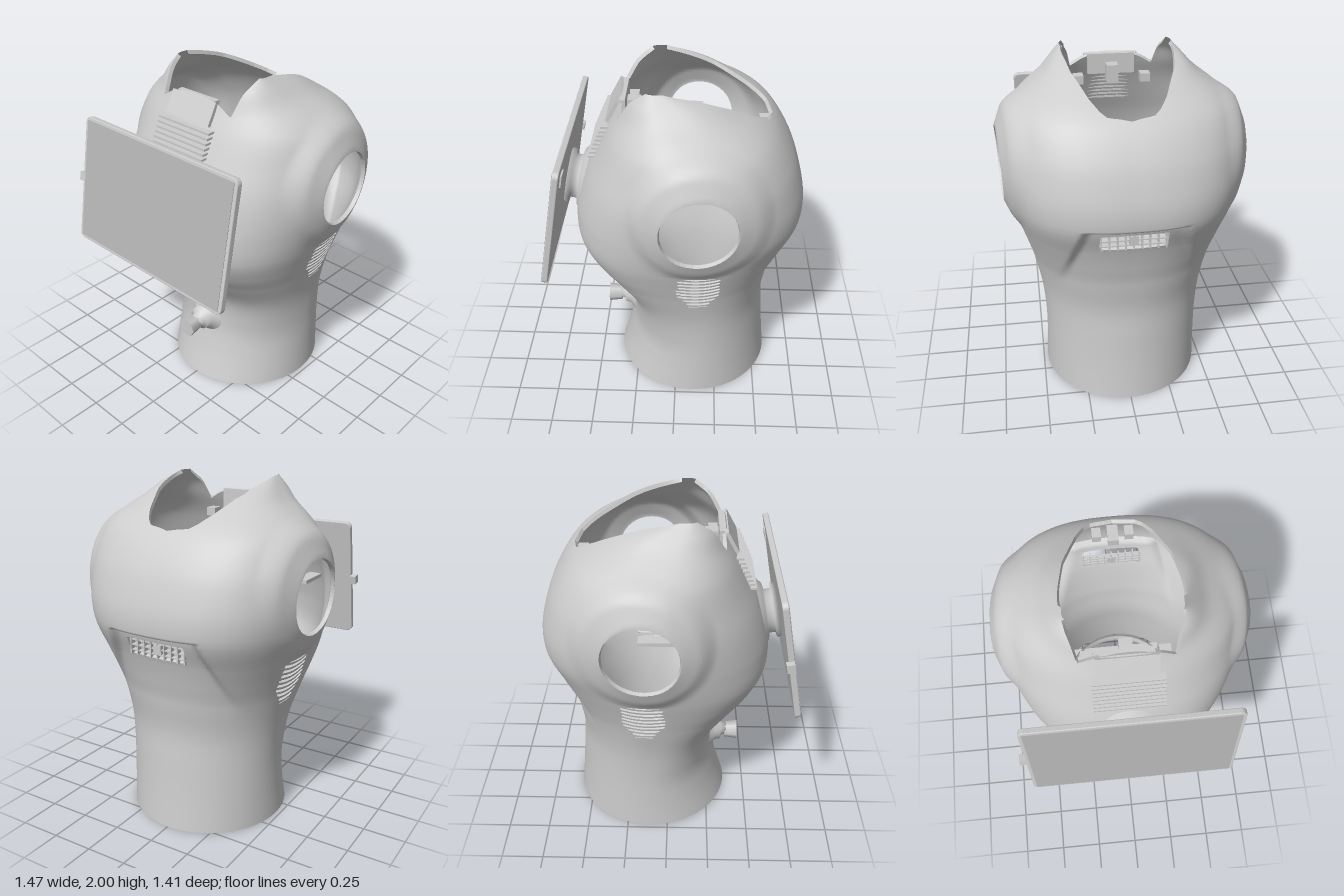
import * as THREE from 'three';

const gray = new THREE.MeshStandardMaterial({ color: 0xcccccc, side: THREE.DoubleSide });
gray.name = 'shell gray';
const screenGray = new THREE.MeshStandardMaterial({ color: 0xb4b4b4, side: THREE.DoubleSide });
screenGray.name = 'screen gray';

const { smoothstep, lerp } = THREE.MathUtils;

// Shell sections: height, front x, back x, half width
const SECTIONS = [
  [-0.02, -0.375, 0.587, 0.475], [0.2, -0.31, 0.565, 0.468], [0.4, -0.275, 0.55, 0.468],
  [0.6, -0.295, 0.54, 0.485], [0.8, -0.43, 0.57, 0.53], [0.92, -0.52, 0.61, 0.565],
  [1.05, -0.585, 0.66, 0.605], [1.2, -0.59, 0.72, 0.645], [1.32, -0.565, 0.725, 0.665],
  [1.45, -0.52, 0.695, 0.67], [1.58, -0.46, 0.645, 0.655], [1.72, -0.395, 0.555, 0.615],
  [1.8, -0.355, 0.465, 0.545], [1.88, -0.315, 0.33, 0.435], [1.95, -0.265, 0.18, 0.365], [2, -0.2, 0, 0.315],
];

// Smooth cubic lookup through the section table
function section(y) {
  let k = 0;
  while (k < SECTIONS.length - 2 && SECTIONS[k + 1][0] < y) k++;
  const at = (i) => SECTIONS[Math.min(Math.max(i, 0), SECTIONS.length - 1)];
  const slope = (i, c) => (at(i + 1)[c] - at(i - 1)[c]) / (at(i + 1)[0] - at(i - 1)[0]);
  const h = at(k + 1)[0] - at(k)[0], t = (y - at(k)[0]) / h;
  return [1, 2, 3].map((c) =>
    (1 + 2 * t) * (1 - t) ** 2 * at(k)[c] + t * (1 - t) ** 2 * h * slope(k, c)
    + t * t * (3 - 2 * t) * at(k + 1)[c] + t * t * (t - 1) * h * slope(k + 1, c));
}

function shellPoint(angle, y) {
  const [x0, x1, w] = section(y);
  const c = Math.cos(angle), s = Math.sin(angle);
  // squarer at the jaw, the back of the head and near the crown
  const n = 0.8 * smoothstep(y, 1.82, 1.98) + (c > 0
    ? lerp(2, 2.5, smoothstep(y, 0.4, 1.2))
    : 2 + 0.5 * smoothstep(y, 0.25, 0.65) - 0.25 * smoothstep(y, 0.85, 1.3));
  const p = (v) => Math.sign(v) * Math.abs(v) ** (2 / n);
  let x = (x0 + x1) / 2 + (x1 - x0) / 2 * p(c);
  let z = w * p(s);
  // raised ear pads, sloping off toward their edges
  const r = Math.hypot(x - 0.13, y - 1.42);
  if (Math.abs(z) > 0.3) {
    const pad = 0.708 - 0.09 * Math.max(0, x) - 0.42 * Math.max(0, r - 0.2);
    z = lerp(z, Math.sign(z) * pad, 1 - smoothstep(r, 0.3, 0.4));
  }
  // recess under the ledge at the back
  if (x > 0.3 && y < 1.22) {
    const half = 0.26 + (1.22 - y) * 0.3;
    x -= 0.04 * smoothstep(y, 0.7, 1.15) * (1 - smoothstep(Math.abs(z), half - 0.03, half + 0.03));
  }
  return new THREE.Vector3(x, y, z);
}

// Half width of the top opening along x
const OPENING = [[-0.31, 0.25], [-0.2, 0.29], [-0.1, 0.312], [0, 0.315], [0.2, 0.28], [0.4, 0.2], [0.47, 0.155], [0.5, 0.12], [0.508, 0]];
function openingWidth(x) {
  if (x <= OPENING[0][0]) return 0.25;
  for (let i = 1; i < OPENING.length; i++) {
    const [a, wa] = OPENING[i - 1], [b, wb] = OPENING[i];
    if (x <= b) return lerp(wa, wb, (x - a) / (b - a));
  }
  return 0.508 - x;
}

// Positive where the wall is kept, negative inside openings
function keep({ x, y, z }) {
  const az = Math.abs(z);
  let f = y;
  if (y > 1.55) f = Math.min(f, Math.max(az - openingWidth(x), -0.31 - x));
  if (az > 0.3) {
    f = Math.min(f, Math.hypot(x - 0.13, y - 1.4) - 0.21);
    const dx = Math.abs(x - 0.13);
    const half = lerp(0.06, 0.125, smoothstep(y, 0.76, 0.88));
    const slot = -Math.sin((y - 0.78 - dx * dx) / 0.031 * Math.PI * 2) * 0.008 - 0.001;
    f = Math.min(f, Math.max(dx - half, Math.abs(y - 0.9) - 0.14, slot));
  }
  if (x > 0.4) f = Math.min(f, Math.max(az - 0.185, Math.abs(y - 1.13) - 0.052));
  return f;
}

// Two-walled shell with cut openings and closed rims
function shellGeometry() {
  const rows = [], N = 180, wall = 0.022;
  for (let y = -0.02; y < 2; y += y > 0.74 && y < 1.06 ? 0.0065 : y > 1.18 && y < 1.24 ? 0.01 : 0.022) rows.push(y);
  rows.push(2);
  const pos = [], idx = [];
  rows.forEach((y, j) => {
    for (let i = 0; i < N; i++) {
      pos.push(...shellPoint(i / N * Math.PI * 2, y).toArray());
      if (j === rows.length - 1) continue;
      const a = j * N + i, b = j * N + (i + 1) % N;
      idx.push(a, a + N, b, b, a + N, b + N);
    }
  });
  const grid = new THREE.BufferGeometry();
  grid.setAttribute('position', new THREE.Float32BufferAttribute(pos, 3));
  grid.setIndex(idx);
  grid.computeVertexNormals();
  const verts = [];
  for (let i = 0; i < pos.length / 3; i++) {
    const p = new THREE.Vector3().fromBufferAttribute(grid.attributes.position, i);
    const n = new THREE.Vector3().fromBufferAttribute(grid.attributes.normal, i);
    verts.push({ p, n, f: keep(p) });
  }
  const outP = [], outN = [];
  const emit = (p, n) => { outP.push(p.x, Math.max(p.y, 0), p.z); outN.push(n.x, n.y, n.z); };
  const inner = (v) => v.p.clone().addScaledVector(v.n, -wall);
  for (let t = 0; t < idx.length; t += 3) {
    const tri = [verts[idx[t]], verts[idx[t + 1]], verts[idx[t + 2]]], poly = [], cut = [];
    tri.forEach((a, k) => {
      const b = tri[(k + 1) % 3];
      if (a.f > 0) poly.push(a);
      if (a.f > 0 !== b.f > 0) {
        const u = a.f / (a.f - b.f);
        const v = { p: a.p.clone().lerp(b.p, u), n: a.n.clone().lerp(b.n, u).normalize() };
        poly.push(v);
        cut.push(v);
      }
    });
    for (let k = 1; k < poly.length - 1; k++) {
      const f = [poly[0], poly[k], poly[k + 1]];
      f.forEach((v) => emit(v.p, v.n));
      f.reverse().forEach((v) => emit(inner(v), v.n.clone().negate()));
    }
    if (cut.length === 2) {
      const [a, b] = cut, c = inner(a), d = inner(b);
      const n = b.p.clone().sub(a.p).cross(a.n).normalize();
      [a.p, c, b.p, b.p, c, d].forEach((p) => emit(p, n));
    }
  }
  const g = new THREE.BufferGeometry();
  g.setAttribute('position', new THREE.Float32BufferAttribute(outP, 3));
  g.setAttribute('normal', new THREE.Float32BufferAttribute(outN, 3));
  return g;
}

export function createModel() {
  const model = new THREE.Group();
  const add = (name, geo, x = 0, y = 0, z = 0, parent = model, mat = gray) => {
    const m = new THREE.Mesh(geo, mat);
    m.name = name;
    m.position.set(x, y, z);
    parent.add(m);
    return m;
  };
  const box = (w, h, d) => new THREE.BoxGeometry(w, h, d);
  const lathe = (pts) => new THREE.LatheGeometry(pts.map((p) => new THREE.Vector2(...p)), 40);

  add('headShell', shellGeometry());

  // Lattice behind the back vent
  for (let i = -4; i <= 4; i++) add('backVentBar', box(0.03, 0.11, 0.008), 0.625, 1.13, i * 0.044);
  for (const y of [1.1, 1.13, 1.16]) add('backVentRail', box(0.03, 0.007, 0.37), 0.62, y, 0);
  add('backVentHub', box(0.035, 0.05, 0.05), 0.622, 1.13, 0);

  // Ridges on the sloping brow
  for (let i = 0; i < 8; i++) {
    const t = i / 7;
    add('browRidge', box(0.05, 0.012, 0.38), lerp(-0.465, -0.385, t), lerp(1.56, 1.74, t), 0);
  }
  add('browPad', box(0.02, 0.13, 0.32), -0.345, 1.82, 0).rotation.z = -0.5;

  // Tablet, leaning back, with its mount
  const tablet = new THREE.Group();
  tablet.name = 'tablet';
  tablet.position.set(-0.658, 1.325, 0);
  tablet.rotation.z = -0.185;
  model.add(tablet);
  const s = new THREE.Shape(), W = 0.575, H = 0.365, R = 0.03;
  s.absarc(W - R, H - R, R, 0, Math.PI / 2);
  s.absarc(R - W, H - R, R, Math.PI / 2, Math.PI);
  s.absarc(R - W, R - H, R, Math.PI, Math.PI * 1.5);
  s.absarc(W - R, R - H, R, Math.PI * 1.5, Math.PI * 2);
  const slab = new THREE.ExtrudeGeometry(s, { depth: 0.024, bevelSize: 0.005, bevelThickness: 0.005, bevelSegments: 2 });
  slab.translate(0, 0, -0.012).rotateY(-Math.PI / 2);
  add('tabletBody', slab, 0, 0, 0, tablet);
  add('tabletScreen', box(0.004, 0.7, 1.12), -0.018, 0, 0, tablet, screenGray);
  add('tabletCamera', box(0.012, 0.07, 0.07), 0.02, 0.28, 0.47, tablet);
  add('tabletClip', box(0.045, 0.05, 0.04), 0.008, 0, -0.595, tablet);
  const mount = lathe([[0, 0], [0.16, 0], [0.16, 0.03], [0.13, 0.035], [0.13, 0.07], [0.17, 0.08], [0.19, 0.1], [0.26, 0.14]]);
  add('tabletMount', mount.rotateZ(-Math.PI / 2), 0.012, 0, 0, tablet);

  // Knob at the front of the neck
  const knob = lathe([[0.14, 0], [0.11, 0.03], [0.075, 0.06], [0.07, 0.09], [0.045, 0.1], [0.04, 0.13], [0, 0.13]]);
  add('knobBase', knob.rotateZ(Math.PI / 2), -0.245, 0.41, 0);
  add('knobGrip', new THREE.CylinderGeometry(0.06, 0.05, 0.08, 6).rotateZ(Math.PI / 2), -0.405, 0.4, 0);

  // Base plate and turntable inside the neck
  const base = new THREE.Group();
  base.name = 'base';
  base.position.set(0.11, 0.09, 0);
  model.add(base);
  const plate = new THREE.Shape();
  plate.moveTo(-0.31, -0.31).lineTo(0.31, -0.31).lineTo(0.31, 0.31).lineTo(-0.31, 0.31).closePath();
  plate.holes.push(new THREE.Path().absarc(-0.04, 0, 0.045, 0, Math.PI * 2, true));
  add('basePlate', new THREE.ExtrudeGeometry(plate, { depth: 0.02, bevelEnabled: false }).rotateX(-Math.PI / 2), 0, 0, 0, base);
  const ring = (r0, r1, h) => lathe([[r0, 0], [r1, 0], [r1, h], [r0, h], [r0, 0]]);
  add('turntableRim', ring(0.25, 0.27, 0.03), 0, 0.02, 0, base);
  add('hubRing', ring(0.045, 0.1, 0.04), -0.04, 0.02, 0, base);
  add('lowerOuterRim', ring(0.38, 0.395, 0.06), 0, -0.03, 0, base);
  add('lowerRim', ring(0.27, 0.29, 0.06), 0, -0.06, 0, base);
  for (const r of [0.09, 0.15, 0.21]) add('lowerRing', ring(r, r + 0.045, 0.02), 0, -0.02, 0, base, screenGray);
  for (let i = 0; i < 3; i++) {
    const arc = new THREE.TorusGeometry(0.13 + i * 0.035, 0.008, 6, 24, 1.6).rotateX(Math.PI / 2);
    add('turntableRib', arc, -0.03, 0.025, 0, base);
  }
  for (const x of [-0.26, 0.26]) {
    for (const z of [-0.26, 0.26]) add('plateBolt', new THREE.CylinderGeometry(0.02, 0.02, 0.02, 6), x, 0.03, z, base);
  }

  // Brackets inside the opening
  add('frontBracket', box(0.03, 0.12, 0.28), -0.29, 1.82, 0);
  add('frontPost', box(0.08, 0.1, 0.07), -0.24, 1.78, 0);
  add('backPost', box(0.1, 0.05, 0.06), 0.48, 1.66, 0);
  for (const z of [-0.09, 0.09]) add('backTab', box(0.06, 0.05, 0.05), 0.49, 1.66, z);
  for (const z of [-0.2, 0.2]) add('frontTab', box(0.07, 0.05, 0.06), -0.26, 1.74, z);
  add('innerShelf', box(0.19, 0.02, 0.07), 0.05, 1.48, -0.6);
  return model;
}
